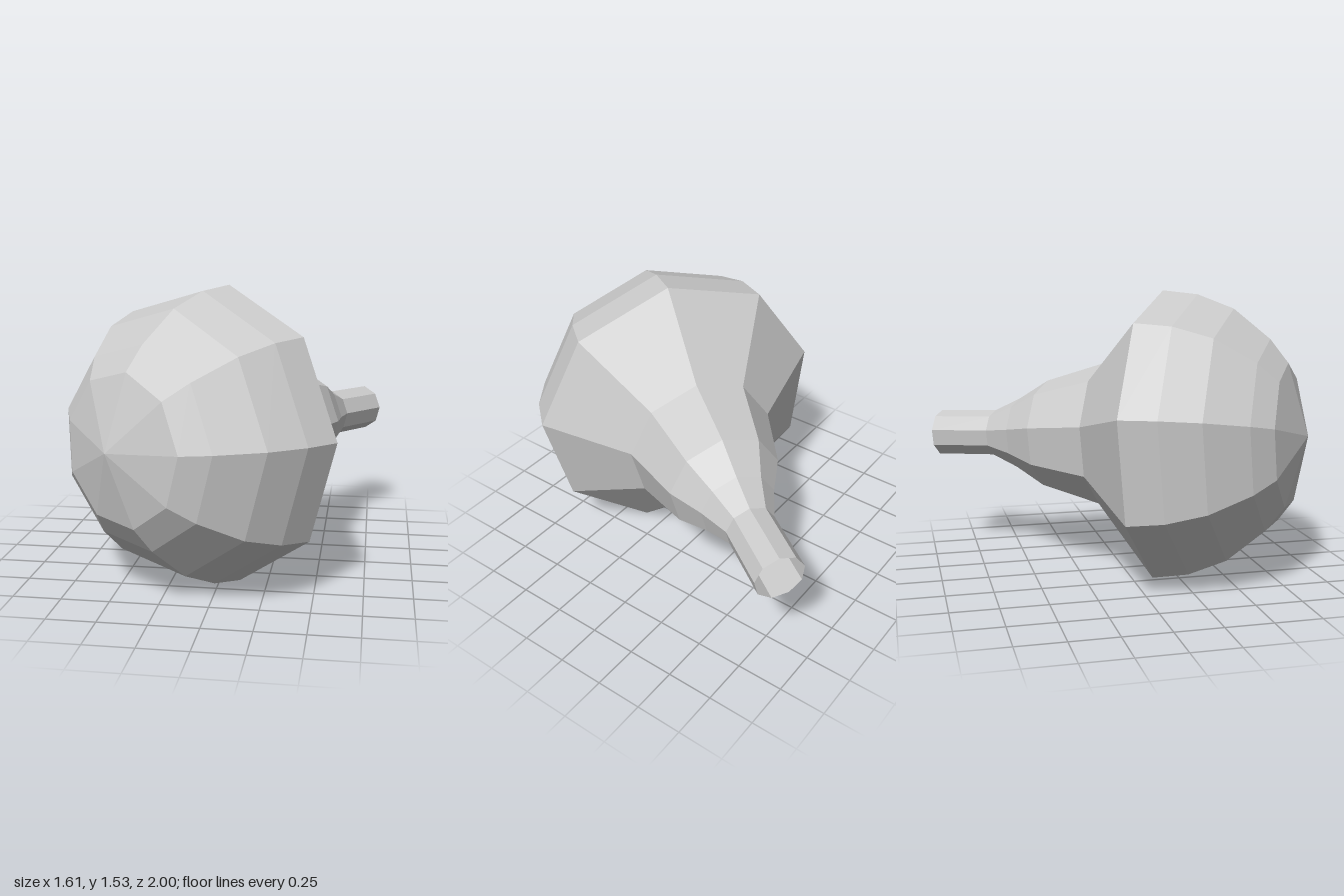
import * as THREE from 'three';

const SIDES = 9;

// Faceted surface of revolution from [radius, distance along the axis] pairs
function turned(name, profile) {
  const points = profile.map(([r, t]) => new THREE.Vector2(r, t));
  const material = new THREE.MeshStandardMaterial({
    color: 0xcccccc, flatShading: true, side: THREE.DoubleSide,
  });
  const mesh = new THREE.Mesh(new THREE.LatheGeometry(points, SIDES), material);
  mesh.name = name;
  return mesh;
}

export function createModel() {
  const model = new THREE.Group();
  model.name = 'facetedBulb';

  // Hollow neck, open at its far end and flaring towards the head
  model.add(turned('neck', [
    [0.13, 0], [0.13, 0.35], [0.2, 0.51], [0.3, 0.685], [0.395, 1.03],
  ]));

  // Cone shoulder out to the wide rim
  model.add(turned('shoulder', [[0.395, 1.03], [0.782, 1.377]]));

  // Rounded dome closing at the front tip
  model.add(turned('dome', [
    [0.782, 1.377], [0.754, 1.57], [0.672, 1.767], [0.508, 1.96], [0.382, 2.054], [0, 2.155],
  ]));

  // Lean the axis from the neck opening towards the front tip
  const axis = new THREE.Vector3(-0.543, 0.05, 0.838).normalize();
  const side = new THREE.Vector3(0.838, 0.092, 0.538);
  side.addScaledVector(axis, -side.dot(axis)).normalize();
  const up = new THREE.Vector3().crossVectors(axis, side);
  model.quaternion.setFromRotationMatrix(new THREE.Matrix4().makeBasis(up, axis, side));
  model.position.set(0.7, 0.688, -0.93);

  const root = new THREE.Group();
  root.name = 'model';
  root.add(model);
  return root;
}
